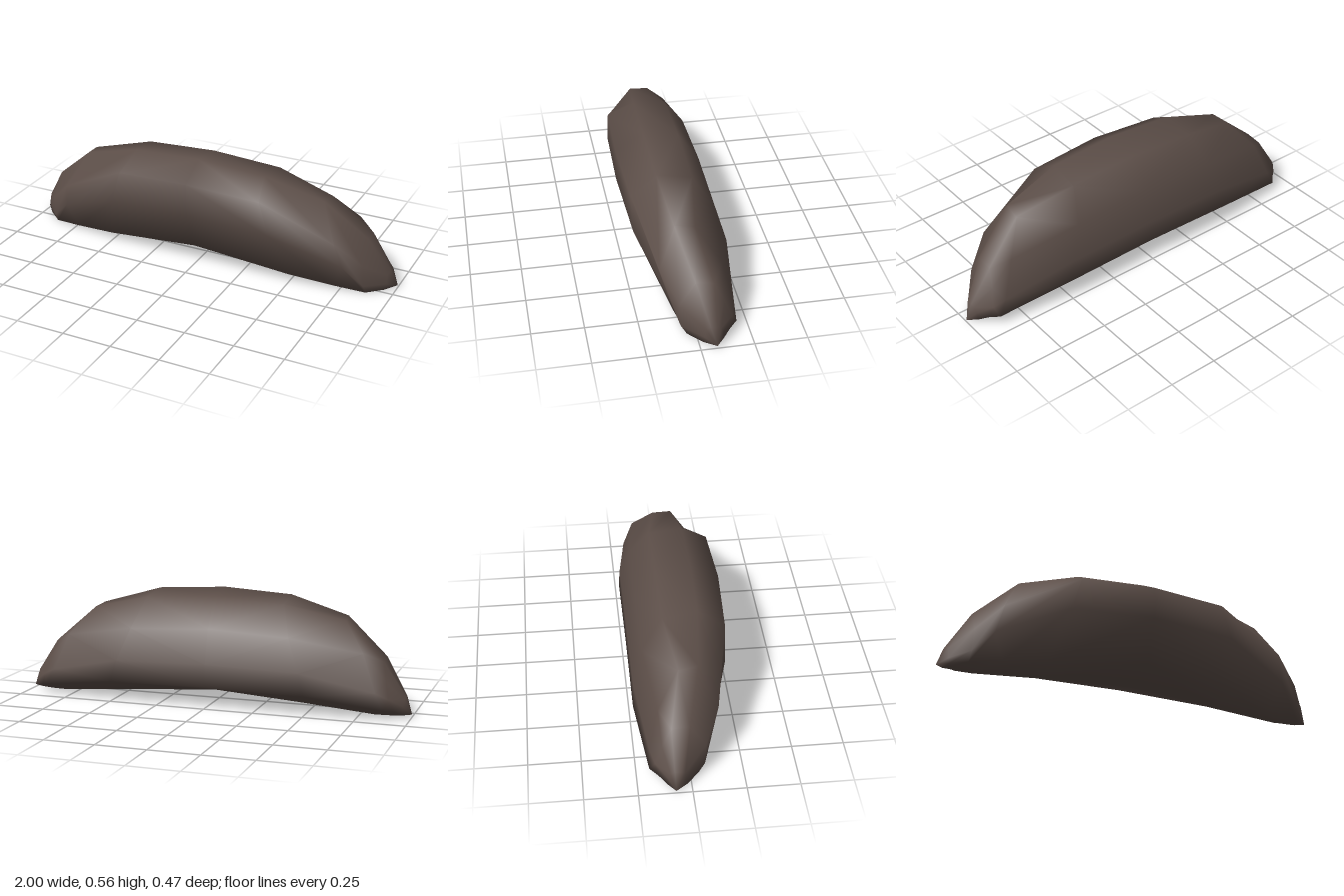
import * as THREE from 'three';

// Cross-sections of the left half, each listed as [x, y, z] corners:
// top front, top back, three down the back, underside middle, underside front, two up the front
const middle = [[0, .56, .095], [0, .537, -.08], [0, .39, -.185], [0, .22, -.23], [0, .11, -.234],
  [0, .055, -.05], [0, .105, .145], [0, .315, .235], [0, .48, .235]];
const inner = [[.35, .54, .09], [.36, .517, -.08], [.41, .37, -.183], [.47, .21, -.23], [.5, .1, -.235],
  [.45, .027, -.06], [.5, .045, .109], [.43, .29, .217], [.38, .46, .22]];
const outer = [[.65, .455, .06], [.66, .445, -.035], [.77, .31, -.14], [.84, .13, -.185], [.88, .05, -.19],
  [.82, .002, -.08], [.72, .022, .077], [.77, .15, .11], [.74, .28, .146]];
const shoulder = [[.86, .275, 0], [.86, .265, -.085], [.88, .18, -.13], [.9, .1, -.165], [.92, .04, -.15],
  [.9, .004, -.08], [.875, .003, .042], [.87, .05, .07], [.865, .16, .075]];
const end = [[.97, .1, -.05], [.97, .1, -.08], [.965, .09, -.1], [.96, .06, -.112], [.96, .02, -.112],
  [.96, .009, -.08], [.95, .007, -.018], [.957, .035, -.028], [.957, .085, -.03]];
const tip = [1, .015, -.076];

const mirror = ([x, y, z]) => [-x, y, z];

// Smooth skin over the rings, closed with a point at both ends
function loft(rings, startTip, endTip) {
  const n = rings[0].length;
  const points = [...rings.flat(), startTip, endTip];
  const start = points.length - 2, stop = points.length - 1, last = (rings.length - 1) * n;
  const index = [];
  for (let j = 0; j < n; j++) {
    const k = (j + 1) % n;
    for (let i = 0; i < rings.length - 1; i++) {
      const a = i * n + j, b = i * n + k;
      // Diagonals are mirrored about the middle section
      if (i < (rings.length - 1) / 2) index.push(a, a + n, b + n, a, b + n, b);
      else index.push(a, a + n, b, a + n, b + n, b);
    }
    index.push(start, j, k, last + j, stop, last + k);
  }
  const geometry = new THREE.BufferGeometry();
  geometry.setAttribute('position', new THREE.Float32BufferAttribute(points.flat(), 3));
  geometry.setIndex(index);
  geometry.computeVertexNormals();
  return geometry;
}

export function createModel() {
  const group = new THREE.Group();
  group.name = 'curvedPad';

  const brown = new THREE.MeshStandardMaterial({ color: 0x5c4e48 });
  brown.name = 'dark brown';

  // Arched body, mirrored about the middle section
  const half = [inner, outer, shoulder, end];
  const rings = [...half.map(r => r.map(mirror)).reverse(), middle, ...half];
  const body = new THREE.Mesh(loft(rings, mirror(tip), tip), brown);
  body.name = 'archedBody';
  group.add(body);
  return group;
}
